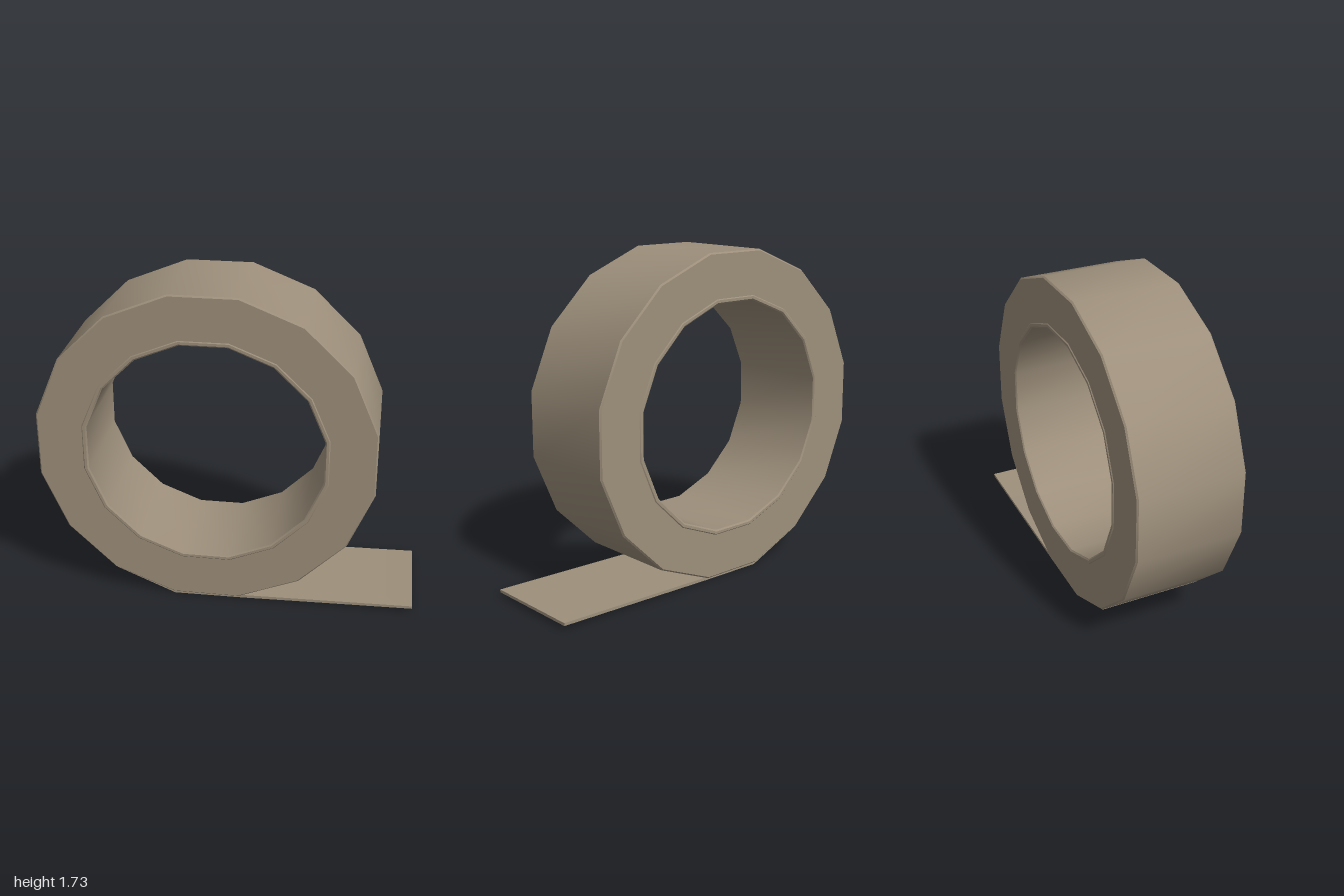
import * as THREE from 'three';
import { toCreasedNormals } from 'three/addons/utils/BufferGeometryUtils.js';

const SIDES = 16;
const CREASE = 0.56; // smooth around the roll, sharp at the rims

// Closed ring around z, revolved from [radius, z] points
function ring(name, profile, material) {
  const points = profile.map(([r, z]) => new THREE.Vector2(r, z));
  points.push(points[0].clone());
  const geometry = new THREE.LatheGeometry(points, SIDES, Math.PI / SIDES);
  geometry.rotateX(Math.PI / 2);
  geometry.scale(1, 0.972, 1); // slightly squashed roll
  geometry.translate(-0.115, 0.871, -0.002);
  const mesh = new THREE.Mesh(toCreasedNormals(geometry, CREASE), material);
  mesh.name = name;
  return mesh;
}

export function createModel() {
  const model = new THREE.Group();
  model.name = 'tapeRoll';
  const tan = new THREE.MeshStandardMaterial({ color: 0x9d8f7b });
  tan.name = 'tan';

  // Wound tape with slightly bevelled outer rims
  model.add(ring('woundTape', [
    [0.652, -0.285], [0.894, -0.285], [0.902, -0.277],
    [0.902, 0.277], [0.894, 0.285], [0.652, 0.285],
  ], tan));

  // Core tube, a little wider than the tape
  model.add(ring('core', [
    [0.629, -0.282], [0.637, -0.289], [0.651, -0.289], [0.662, -0.28],
    [0.662, 0.28], [0.651, 0.289], [0.637, 0.289], [0.629, 0.282],
  ], tan));

  // Loose end: wraps under the roll and runs out to the side
  const outline = [
    [-0.62, 0.143], [-0.29, 0], [0.07, 0.003], [1, 0.022],
    [1, 0.037], [0.06, 0.019], [-0.285, 0.015],
  ].map(([x, y]) => new THREE.Vector2(x, y));
  const strip = new THREE.ExtrudeGeometry(new THREE.Shape(outline), { depth: 0.554, bevelEnabled: false });
  strip.translate(0, 0, -0.279);
  const looseEnd = new THREE.Mesh(toCreasedNormals(strip, CREASE), tan);
  looseEnd.name = 'looseEnd';
  model.add(looseEnd);

  return model;
}
